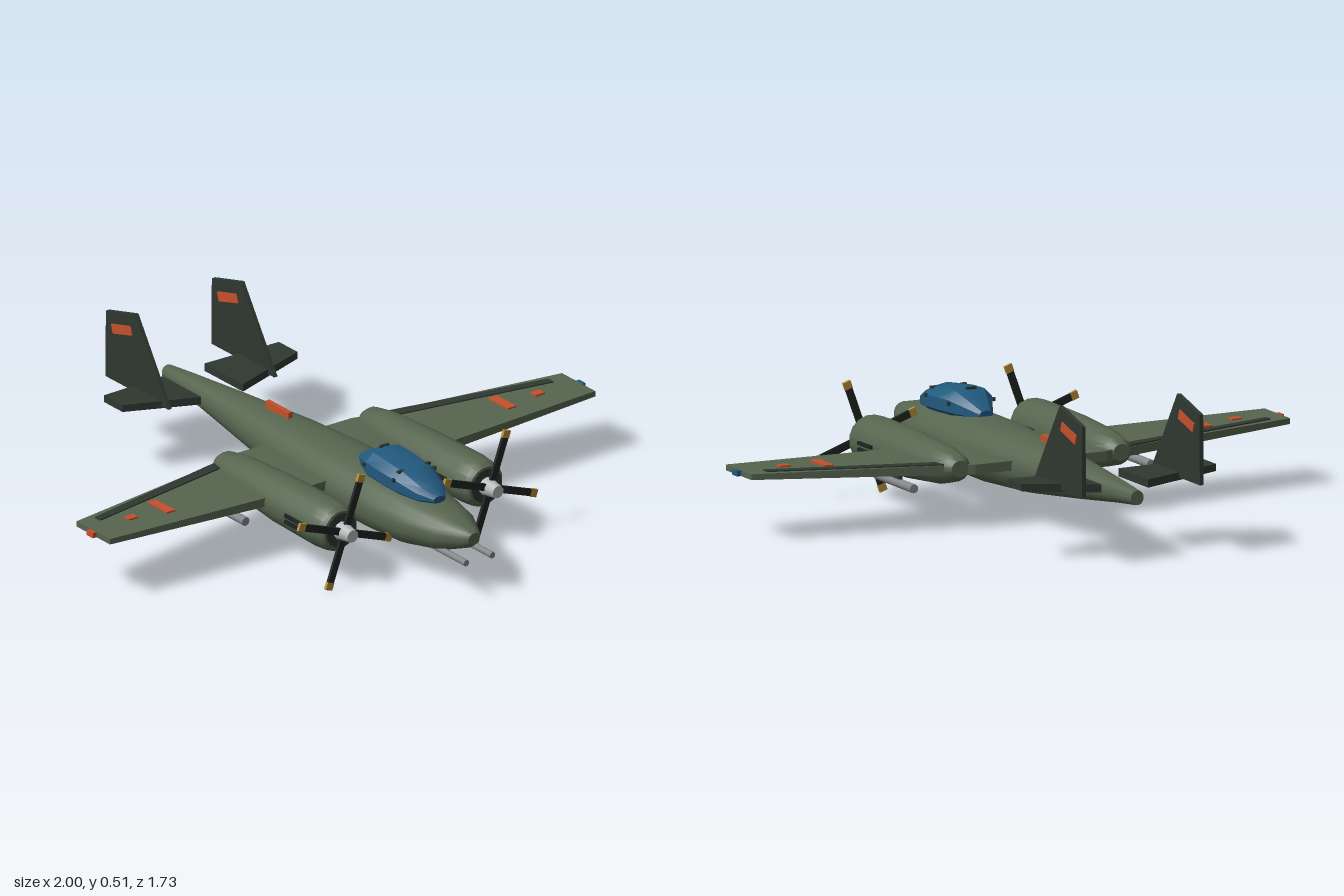
import * as THREE from 'three';
import { toCreasedNormals } from 'three/addons/utils/BufferGeometryUtils.js';

const paint = (name, color) => Object.assign(new THREE.MeshStandardMaterial({ color }), { name });

// Skin a list of rings, each counter-clockwise seen from the first ring's end.
function loft(rings, crease = 0.6) {
  const n = rings[0].length, pos = rings.flat(2), index = [];
  for (let i = 0; i < rings.length - 1; i++)
    for (let j = 0; j < n; j++) {
      const k = (j + 1) % n, a = i * n + j, b = i * n + k, c = a + n, d = b + n;
      index.push(a, c, d, a, d, b);
    }
  const last = (rings.length - 1) * n;
  for (let j = 1; j < n - 1; j++) index.push(0, j, j + 1, last, last + j + 1, last + j);
  const g = new THREE.BufferGeometry();
  g.setAttribute('position', new THREE.Float32BufferAttribute(pos, 3));
  g.setIndex(index);
  return toCreasedNormals(g, crease);
}

// Rounded body from stations [z, centreY, halfWidth, halfHeight], front to back.
const body = (stations, sides, power = 1, crease = 0.6) => loft(stations.map(([z, y, w, h]) =>
  Array.from({ length: sides }, (_, j) => {
    const a = ((j + 0.5) / sides) * Math.PI * 2, c = Math.cos(a), s = Math.sin(a);
    return [w * Math.sign(c) * Math.abs(c) ** power, y + h * Math.sign(s) * Math.abs(s) ** power, z];
  })), crease);

// Flat-sided panel from stations [x, frontZ, backZ, bottomY, topY], +x to -x.
const panel = (stations) => loft(stations.map(([x, f, b, lo, hi]) =>
  [[x, lo, f], [x, lo, b], [x, hi, b], [x, hi, f]]), 0.1);

export function createModel() {
  const green = paint('olive green', 0x56654f), dark = paint('dark green', 0x2f3830),
    black = paint('soot black', 0x1f2521), glass = paint('canopy blue', 0x215a7e),
    orange = paint('marking orange', 0xc4502c), silver = paint('spinner silver', 0xb4b8b8),
    steel = paint('gun grey', 0x85888a), gold = paint('blade tip yellow', 0xb58d3c);
  const model = new THREE.Group();
  model.name = 'twinEngineAircraft';

  const add = (name, geometry, material, p = [0, 0, 0], parent = model) => {
    const mesh = new THREE.Mesh(geometry, material);
    mesh.name = name;
    mesh.position.set(...p);
    parent.add(mesh);
    return mesh;
  };
  const box = (name, size, material, p, parent) => add(name, new THREE.BoxGeometry(...size), material, p, parent);
  // Cylinder lying along z.
  const rod = (name, rFront, rBack, length, sides, material, p, parent) =>
    add(name, new THREE.CylinderGeometry(rFront, rBack, length, sides).rotateX(Math.PI / 2), material, p, parent);

  // Fuselage and canopy
  add('fuselage', body([
    [0.835, 0.2, 0.022, 0.02], [0.815, 0.198, 0.04, 0.034], [0.72, 0.19, 0.09, 0.064],
    [0.56, 0.185, 0.126, 0.09], [0.4, 0.187, 0.137, 0.098], [0.14, 0.186, 0.133, 0.1],
    [-0.15, 0.19, 0.11, 0.088], [-0.45, 0.2, 0.068, 0.062], [-0.7, 0.207, 0.037, 0.036],
    [-0.82, 0.208, 0.023, 0.024]], 20, 0.9), green);
  add('canopy', body([
    [0.65, 0.275, 0.025, 0.012], [0.6, 0.282, 0.06, 0.033], [0.52, 0.296, 0.083, 0.053],
    [0.44, 0.302, 0.088, 0.057], [0.36, 0.305, 0.085, 0.058], [0.28, 0.292, 0.045, 0.032],
    [0.245, 0.286, 0.025, 0.018]], 10, 0.9, 0.5), glass);
  box('canopyRearFrame', [0.035, 0.008, 0.01], dark, [0, 0.36, 0.35]);
  box('dorsalBeacon', [0.016, 0.03, 0.125], orange, [0, 0.283, -0.218]);

  // Wing
  add('wing', panel([[0.985, 0.18, 0, 0.211, 0.23], [0.3, 0.205, -0.125, 0.187, 0.219],
    [0.24, 0.208, -0.145, 0.186, 0.218], [-0.24, 0.208, -0.145, 0.186, 0.218],
    [-0.3, 0.205, -0.125, 0.187, 0.219], [-0.985, 0.18, 0, 0.211, 0.23]]), green);

  // Tail fin outline, drawn with shape x as -z
  const plate = (points, thickness) => new THREE.ExtrudeGeometry(
    new THREE.Shape(points.map(([z, y]) => new THREE.Vector2(-z, y))),
    { depth: thickness, bevelEnabled: false }).translate(0, 0, -thickness / 2).rotateY(Math.PI / 2);
  const finShape = plate([[-0.52, 0.237], [-0.86, 0.237], [-0.857, 0.47], [-0.7, 0.512]], 0.014);
  const stripeShape = plate([[-0.712, 0.433], [-0.815, 0.404], [-0.825, 0.435], [-0.722, 0.463]], 0.022);

  for (const side of [1, -1]) {
    const label = side > 0 ? 'left' : 'right';
    // Mirror panel stations, keeping them in +x to -x order
    const sidePanel = (st) => panel(side > 0 ? st : st.map(([x, ...r]) => [-x, ...r]).reverse());

    // Wing details
    add(label + 'Flap', sidePanel([[0.92, 0.042, 0.013, 0.222, 0.233], [0.34, -0.075, -0.116, 0.21, 0.224]]), dark);
    for (const [name, x, z, w, d] of [['WingMark', 0.692, 0.068, 0.035, 0.105], ['SmallWingMark', 0.825, 0.08, 0.038, 0.03]])
      box(label + name, [w, 0.009, d], orange, [side * x, 0.215 + x * 0.016, z]).rotation.z = side * 0.016;
    box(label + 'TipLight', [0.02, 0.018, 0.034], side > 0 ? glass : orange, [side * 0.99, 0.22, 0.09]);
    rod(label + 'UnderwingTube', 0.015, 0.015, 0.262, 12, steel, [side * 0.433, 0.145, 0.048]);
    box(label + 'TubePylon', [0.01, 0.05, 0.08], dark, [side * 0.433, 0.176, 0.05]);
    rod(label + 'NoseGun', 0.011, 0.011, 0.2, 10, steel, [side * 0.053, 0.139, 0.765]);
    box(label + 'CanopyFrame', [0.02, 0.008, 0.012], dark, [side * 0.055, 0.339, 0.51]);
    for (const z of [0.51, 0.35]) box(label + 'CanopyStud', [0.008, 0.012, 0.012], dark, [side * 0.083, 0.315, z]);

    // Tail surfaces
    add(label + 'Stabiliser', sidePanel([[0.355, -0.59, -0.69, 0.24, 0.264], [0.085, -0.525, -0.732, 0.218, 0.245]]), dark);
    add(label + 'Fin', finShape, dark, [side * 0.215, 0, 0]);
    add(label + 'FinStripe', stripeShape, orange, [side * 0.215, 0, 0]);

    // Engine nacelle
    const engine = new THREE.Group();
    engine.name = label + 'Engine';
    engine.position.set(side * 0.295, 0.195, 0);
    model.add(engine);
    add('nacelle', body([
      [0.508, 0, 0.066, 0.066], [0.49, 0, 0.079, 0.079], [0.43, 0, 0.084, 0.084],
      [0.2, 0.002, 0.081, 0.08], [-0.03, 0.008, 0.066, 0.064], [-0.115, 0.012, 0.05, 0.046],
      [-0.14, 0.012, 0.03, 0.028]], 16), green, [0, 0, 0], engine);
    rod('engineFace', 0.06, 0.06, 0.01, 16, dark, [0, 0, 0.507], engine);
    for (const s of [1, -1])
      for (const y of [-0.013, 0.008])
        box('exhaust', [0.018, 0.012, 0.09], black, [s * 0.081, y, 0.365], engine);

    // Propeller with four tipped blades
    const propeller = new THREE.Group();
    propeller.name = 'propeller';
    propeller.position.z = 0.53;
    engine.add(propeller);
    rod('spinner', 0.022, 0.034, 0.07, 10, silver, [0, 0, 0.008], propeller);
    for (let i = 0; i < 4; i++) {
      const blade = new THREE.Group();
      blade.name = 'blade';
      blade.rotation.z = (70 + i * 90) * Math.PI / 180;
      propeller.add(blade);
      box('bladeArm', [0.15, 0.024, 0.01], black, [0.1, 0, 0], blade);
      box('bladeTip', [0.026, 0.027, 0.011], gold, [0.186, 0, 0], blade);
    }
  }
  return model;
}
